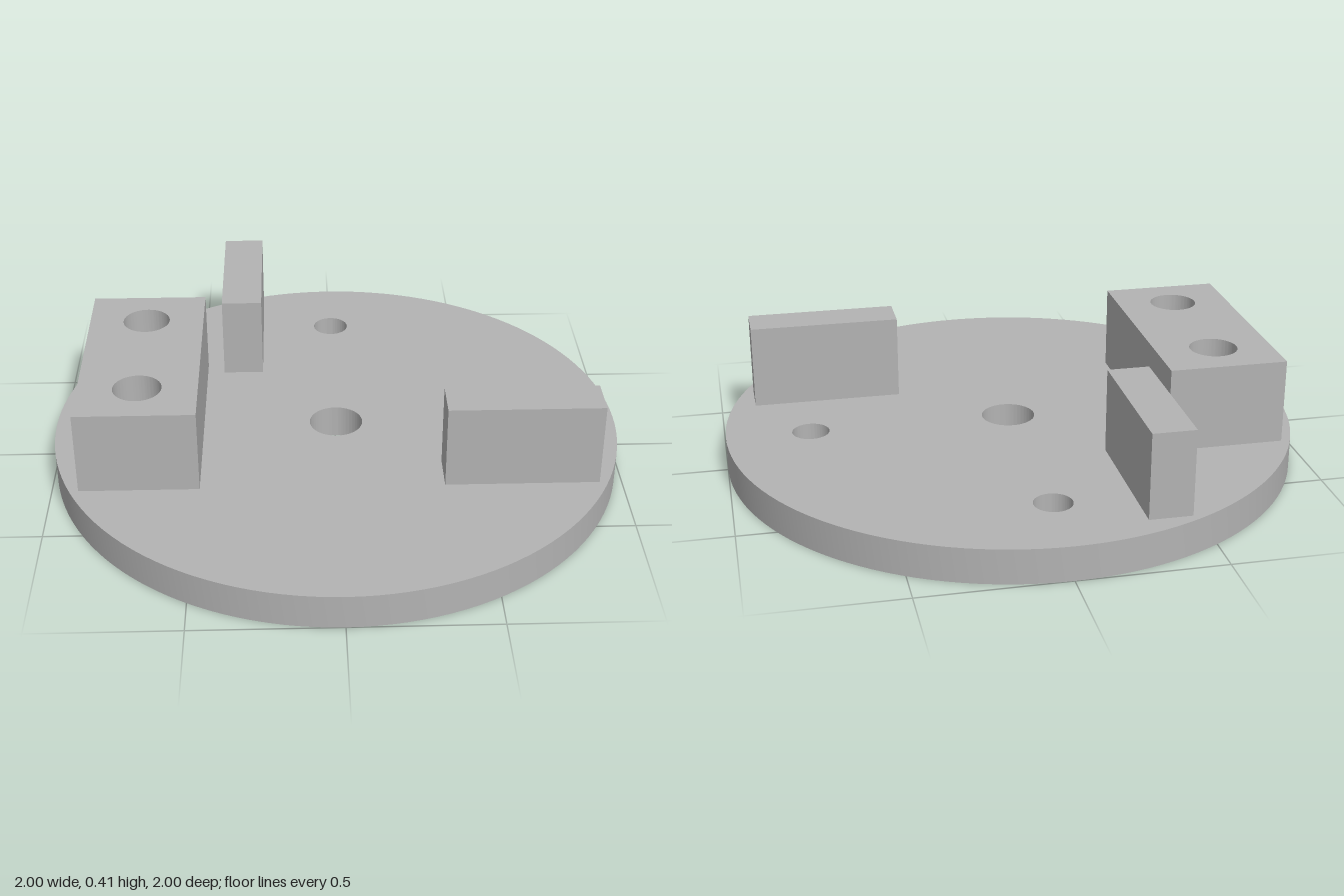
import * as THREE from 'three';
import { toCreasedNormals } from 'three/addons/utils/BufferGeometryUtils.js';

const DISC_TOP = 0.12;
const BLOCK_TOP = 0.415;

// Extrude a plan drawn in (x, z) between two heights, with round holes [x, z, radius]
function plate(name, shape, holes, bottom, top, material) {
  for (const [x, z, r] of holes) {
    shape.holes.push(new THREE.Path().absarc(x, z, r, 0, Math.PI * 2, true));
  }
  const geometry = new THREE.ExtrudeGeometry(shape, {
    depth: top - bottom, bevelEnabled: false, curveSegments: 64,
  });
  geometry.rotateX(Math.PI / 2).translate(0, top, 0);
  const mesh = new THREE.Mesh(toCreasedNormals(geometry, 0.6), material);
  mesh.name = name;
  return mesh;
}

function rectangle(x0, x1, z0, z1) {
  return new THREE.Shape([
    new THREE.Vector2(x0, z0), new THREE.Vector2(x1, z0),
    new THREE.Vector2(x1, z1), new THREE.Vector2(x0, z1),
  ]);
}

export function createModel() {
  const group = new THREE.Group();
  group.name = 'fixturePlate';
  const metal = new THREE.MeshStandardMaterial({ color: 0xb3b3b3 });
  metal.name = 'grey metal';

  // Bolt holes run through both the clamp block and the disc
  const boltHoles = [[-0.677, -0.235, 0.083], [-0.677, 0.235, 0.083]];
  const centreHole = [0, 0, 0.094];
  const pinHoles = [[0, -0.706, 0.065], [0.706, 0, 0.065]];

  // Round base
  const circle = new THREE.Shape().absarc(0, 0, 1, 0, Math.PI * 2, false);
  group.add(plate('baseDisc', circle, [centreHole, ...pinHoles, ...boltHoles], 0, DISC_TOP, metal));

  // Blocks standing on the base
  const blocks = [
    ['clampBlock', rectangle(-0.88, -0.472, -0.41, 0.41), boltHoles],
    ['backStop', rectangle(-0.41, -0.265, -0.882, -0.357), []],
    ['sideStop', rectangle(0.357, 0.882, 0.265, 0.41), []],
  ];
  for (const [name, shape, holes] of blocks) {
    group.add(plate(name, shape, holes, DISC_TOP, BLOCK_TOP, metal));
  }
  return group;
}
